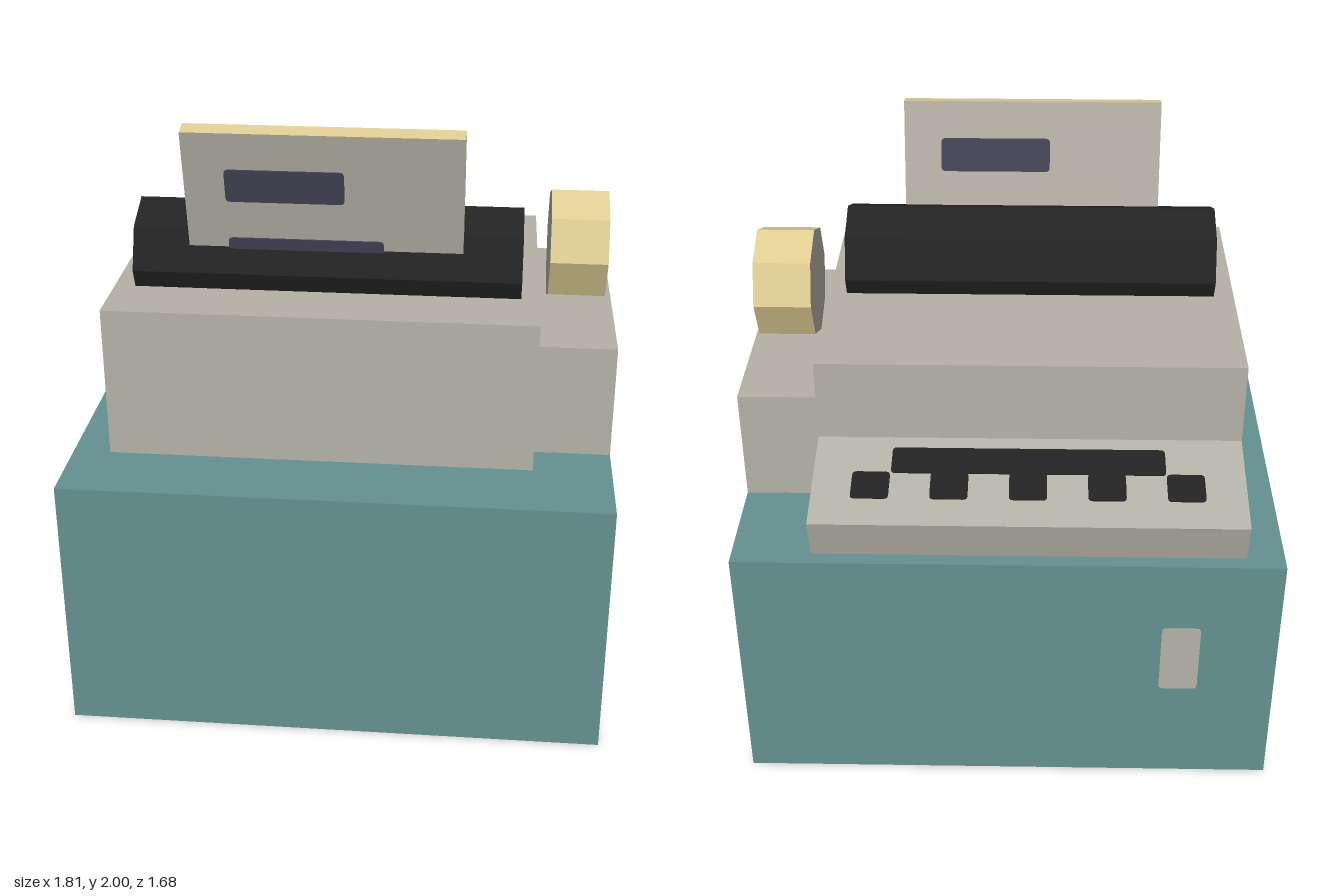
import * as THREE from 'three';

const material = (name, color) => {
  const m = new THREE.MeshStandardMaterial({ color });
  m.name = name;
  return m;
};

export function createModel() {
  const model = new THREE.Group();
  const teal = material('teal', 0x649090);
  const beige = material('beige', 0xb5b1a6);
  const black = material('black', 0x232323);
  const tan = material('tan', 0xdecc92);
  const ink = material('ink', 0x454356);

  const add = (name, geometry, mat, parent = model) => {
    const mesh = new THREE.Mesh(geometry, mat);
    mesh.name = name;
    parent.add(mesh);
    return mesh;
  };

  // Box given by its extents
  const block = (name, [x0, x1], [y0, y1], [z0, z1], mat) => {
    const g = new THREE.BoxGeometry(x1 - x0, y1 - y0, z1 - z0);
    g.translate((x0 + x1) / 2, (y0 + y1) / 2, (z0 + z1) / 2);
    return add(name, g, mat);
  };

  // Eight-sided drum along x, with beige ends
  const drum = (name, x0, x1, y, z, r, mat) => {
    const g = new THREE.CylinderGeometry(r, r, x1 - x0, 8).toNonIndexed();
    g.computeVertexNormals();
    g.rotateZ(Math.PI / 2);
    add(name, g, [mat, beige, beige]).position.set((x0 + x1) / 2, y, z);
  };

  // Thin plate with softened corners, lying in the xy plane and facing +z
  const plate = (name, x0, x1, y0, y1, mat, parent) => {
    const r = 0.015;
    const s = new THREE.Shape();
    s.moveTo(x0 + r, y0);
    s.lineTo(x1 - r, y0);
    s.quadraticCurveTo(x1, y0, x1, y0 + r);
    s.lineTo(x1, y1 - r);
    s.quadraticCurveTo(x1, y1, x1 - r, y1);
    s.lineTo(x0 + r, y1);
    s.quadraticCurveTo(x0, y1, x0, y1 - r);
    s.lineTo(x0, y0 + r);
    s.quadraticCurveTo(x0, y0, x0 + r, y0);
    const g = new THREE.ExtrudeGeometry(s, { depth: 0.004, bevelEnabled: false, curveSegments: 3 });
    return add(name, g, mat, parent);
  };

  // Pedestal with a small plate on its back
  block('pedestal', [-0.905, 0.9], [0, 0.905], [-0.84, 0.84], teal);
  const label = plate('backPlate', 0.515, 0.645, 0.385, 0.648, beige);
  label.rotation.y = Math.PI;
  label.position.z = -0.84;

  // Main body and side housing with its slot
  block('body', [-0.78, 0.64], [0.905, 1.425], [-0.455, 0.58], beige);
  block('sideHousing', [0.64, 0.9], [0.905, 1.295], [-0.455, 0.45], beige);
  const slot = plate('sideSlot', -0.325, 0.32, 1.04, 1.165, black);
  slot.rotation.y = Math.PI / 2;
  slot.position.x = 0.9;

  // Sloping keyboard, profile drawn as (-z, y)
  const profile = new THREE.Shape([
    [0.455, 0.905], [0.79, 0.905], [0.825, 1.05], [0.455, 1.14],
  ].map(([x, y]) => new THREE.Vector2(x, y)));
  const wedge = new THREE.ExtrudeGeometry(profile, { depth: 1.42, bevelEnabled: false });
  wedge.rotateY(Math.PI / 2);
  add('keyboard', wedge, beige).position.x = -0.78;

  // Keys and space bar on the slope
  const slope = Math.atan2(0.09, 0.37);
  const keys = new THREE.Group();
  keys.name = 'keys';
  keys.position.set(0, 1.14, -0.455);
  keys.rotation.x = -Math.PI / 2 - slope;
  model.add(keys);
  const onSlope = (z) => (-0.455 - z) / Math.cos(slope);
  for (let i = 0; i < 5; i++) {
    const x = -0.583 + i * 0.258;
    plate('key', x - 0.062, x + 0.062, onSlope(-0.607), onSlope(-0.718), black, keys);
  }
  plate('spaceBar', -0.52, 0.385, onSlope(-0.503), onSlope(-0.61), black, keys);

  // Roller and turning knob
  drum('roller', -0.71, 0.58, 1.49, 0.195, 0.194, black);
  drum('knob', 0.675, 0.87, 1.49, 0, 0.194, tan);

  // Leaning paper sheet with inked lines, hung from its top edge
  const paper = new THREE.Group();
  paper.name = 'paper';
  paper.position.set(0, 1.994, 0.415);
  paper.rotation.x = 0.215;
  model.add(paper);
  const sheet = new THREE.BoxGeometry(0.905, 0.5, 0.06);
  sheet.translate(-0.0675, -0.25, 0);
  add('sheet', sheet, [tan, tan, tan, tan, beige, beige], paper);
  plate('frontLine', -0.387, 0, -0.248, -0.13, ink, paper).position.z = 0.03;
  plate('frontLine', -0.387, 0.125, -0.48, -0.386, ink, paper).position.z = 0.03;
  const backLine = plate('backLine', -0.255, 0.13, -0.248, -0.13, ink, paper);
  backLine.rotation.y = Math.PI;
  backLine.position.z = -0.03;

  return model;
}
